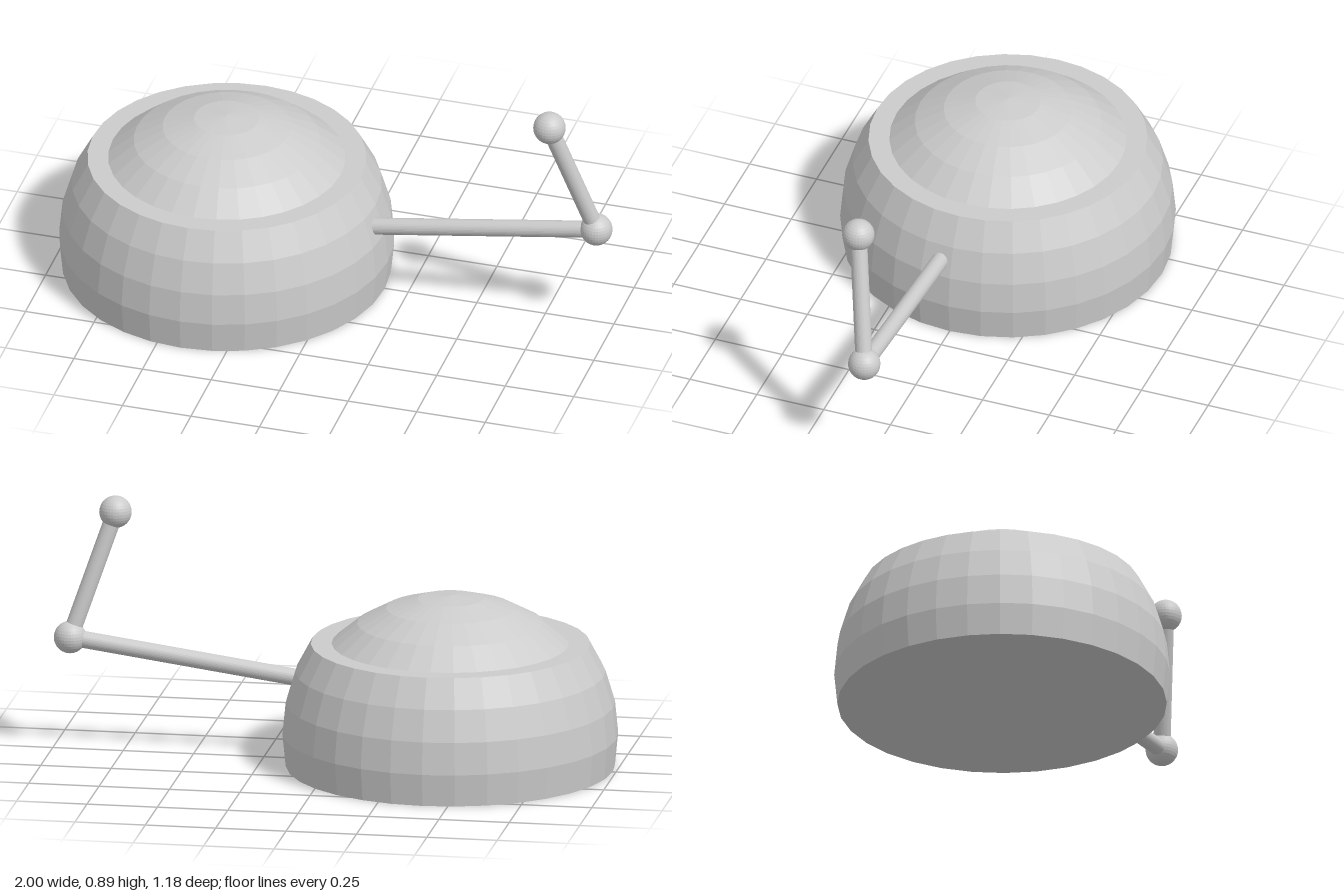
import * as THREE from 'three';

const material = new THREE.MeshStandardMaterial({ color: 0xcccccc, flatShading: true });
const SIDES = 32;
const STEP = Math.PI / 16; // latitude step of the faceted spheres
const R = 0.588;

function add(group, name, geometry, position) {
  const mesh = new THREE.Mesh(geometry, material);
  mesh.name = name;
  mesh.position.copy(position);
  group.add(mesh);
  return mesh;
}

// Straight rod between two points
function addRod(group, name, from, to, radius) {
  const dir = to.clone().sub(from);
  const rod = add(group, name, new THREE.CylinderGeometry(radius, radius, dir.length(), SIDES),
    from.clone().lerp(to, 0.5));
  rod.quaternion.setFromUnitVectors(new THREE.Vector3(0, 1, 0), dir.normalize());
}

// Points along a sphere's outline between two latitude steps
function arc(centerY, first, last) {
  const points = [];
  for (let i = first; i <= last; i++) {
    points.push(new THREE.Vector2(R * Math.cos(i * STEP), centerY + R * Math.sin(i * STEP)));
  }
  return points;
}

export function createModel() {
  const model = new THREE.Group();
  model.name = 'domedBodyWithArm';
  const base = new THREE.Vector3(-0.412, 0, 0);

  // Body: sphere band with a flat floor and a flat rim on top
  const band = arc(R * Math.sin(STEP), -1, 3);
  const top = band[band.length - 1].y;
  add(model, 'body', new THREE.LatheGeometry(
    [new THREE.Vector2(0, 0), ...band, new THREE.Vector2(0.41, top)], SIDES), base);

  // Shallow dome set inside the rim
  const cap = arc(top - R * Math.sin(4 * STEP), 4, 8);
  cap[cap.length - 1].x = 0;
  add(model, 'dome', new THREE.LatheGeometry(cap, SIDES), base);

  // Jointed arm on the left side
  const shoulder = new THREE.Vector3(0.14, 0.28, 0.045);
  const elbow = new THREE.Vector3(0.943, 0.396, 0.025);
  const tip = new THREE.Vector3(0.795, 0.836, 0.103);
  const ball = new THREE.SphereGeometry(0.057, SIDES, 16);
  addRod(model, 'lowerRod', shoulder, elbow, 0.03);
  addRod(model, 'upperRod', elbow, tip, 0.03);
  add(model, 'elbowBall', ball, elbow);
  add(model, 'tipBall', ball, tip);

  return model;
}
